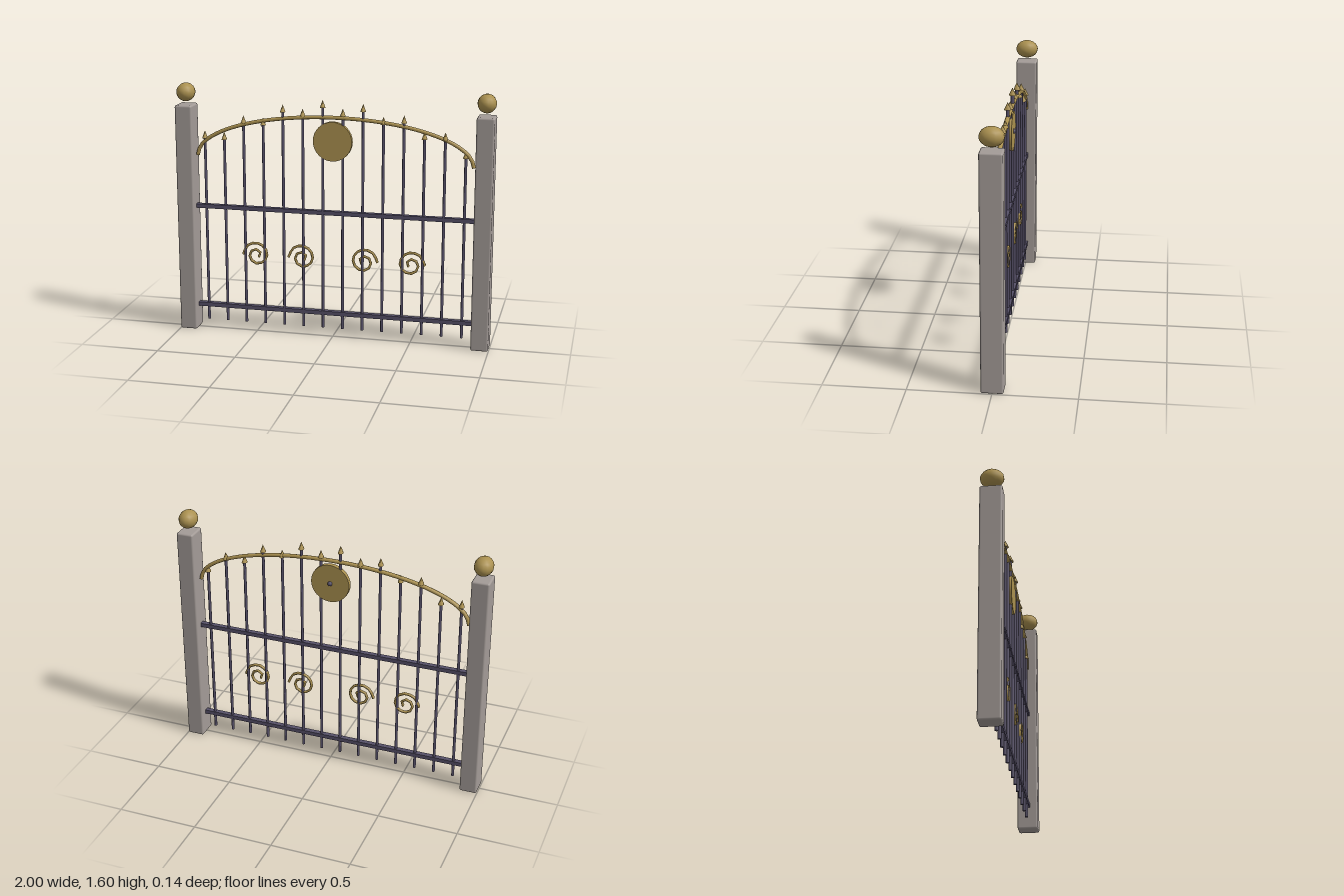
import * as THREE from 'three';
import { RoundedBoxGeometry } from 'three/addons/geometries/RoundedBoxGeometry.js';

const mat = (name, color, side = THREE.FrontSide) => {
  const m = new THREE.MeshStandardMaterial({ color, side });
  m.name = name;
  return m;
};

export function createModel() {
  const stone = mat('stone', 0xa39b97);
  const gold = mat('gold', 0xab9150, THREE.DoubleSide);
  const iron = mat('iron', 0x565068);
  const gate = new THREE.Group();
  gate.name = 'gate';
  const DEPTH = 1.25; // round parts are a little deeper than wide

  const add = (name, geometry, material, x, y, z = 0, depth = 1) => {
    const mesh = new THREE.Mesh(geometry, material);
    mesh.name = name;
    mesh.position.set(x, y, z);
    mesh.scale.z = depth;
    gate.add(mesh);
    return mesh;
  };

  // Stone posts with floating ball caps
  const postGeo = new RoundedBoxGeometry(0.11, 1.465, 0.135, 2, 0.012);
  const ballGeo = new THREE.SphereGeometry(0.058, 14, 10);
  for (const side of [-1, 1]) {
    add('post', postGeo, stone, side * 0.943, 0.7325);
    add('postBall', ballGeo, gold, side * 0.942, 1.542, 0, DEPTH);
  }

  // Horizontal rails
  const railGeo = new THREE.BoxGeometry(1.776, 0.026, 0.032);
  for (const y of [0.157, 0.814]) add('rail', railGeo, iron, 0, y);

  // Upright bars, each with a spear tip at its own height
  const tips = [1.302, 1.298, 1.408, 1.4, 1.487, 1.466, 1.525, 1.477, 1.51, 1.436, 1.45, 1.356, 1.356, 1.25];
  const bottom = 0.057, tipHeight = 0.048;
  const spearGeo = new THREE.ConeGeometry(0.018, tipHeight, 8);
  tips.forEach((tip, i) => {
    const x = (i - 6.5) * 0.1267;
    const length = tip - tipHeight - bottom;
    add('bar', new THREE.CylinderGeometry(0.009, 0.009, length, 8), iron, x, bottom + length / 2, 0, DEPTH);
    add('spearTip', spearGeo, gold, x, tip - tipHeight / 2, 0, DEPTH);
  });

  // Half-ellipse top arch
  const archPoints = [];
  for (let i = 0; i <= 16; i++) {
    const a = Math.PI * (1 - i / 16);
    archPoints.push(new THREE.Vector3(0.873 * Math.cos(a), 1.145 + 0.272 * Math.sin(a), 0));
  }
  const archCurve = new THREE.CatmullRomCurve3(archPoints);
  add('arch', new THREE.TubeGeometry(archCurve, 48, 0.012, 8), gold, 0, 0, 0, DEPTH);

  // Round plaque with a small knob on the back
  const plaque = new THREE.CylinderGeometry(0.123, 0.123, 0.028, 32).rotateX(Math.PI / 2);
  add('plaque', plaque, gold, 0, 1.268);
  add('plaqueKnob', new THREE.SphereGeometry(0.015, 10, 8), iron, 0, 1.268, -0.015);

  // Spiral scrolls, mirrored on the two halves
  const scroll = (side) => {
    const points = [];
    for (let i = 0; i <= 13; i++) {
      const t = i * Math.PI / 4;
      const r = 0.089 - 0.0068 * t;
      points.push(new THREE.Vector3(-side * r * Math.cos(t), r * Math.sin(t), 0));
    }
    const path = new THREE.CurvePath();
    for (let i = 1; i < points.length; i++) path.add(new THREE.LineCurve3(points[i - 1], points[i]));
    return new THREE.TubeGeometry(new THREE.CatmullRomCurve3(points), 16, 0.0085, 6);
  };
  for (const side of [-1, 1]) {
    const geo = scroll(-side);
    for (const x of [0.198, 0.497]) add('scroll', geo, gold, side * x, 0.51, 0, DEPTH);
  }

  return gate;
}
